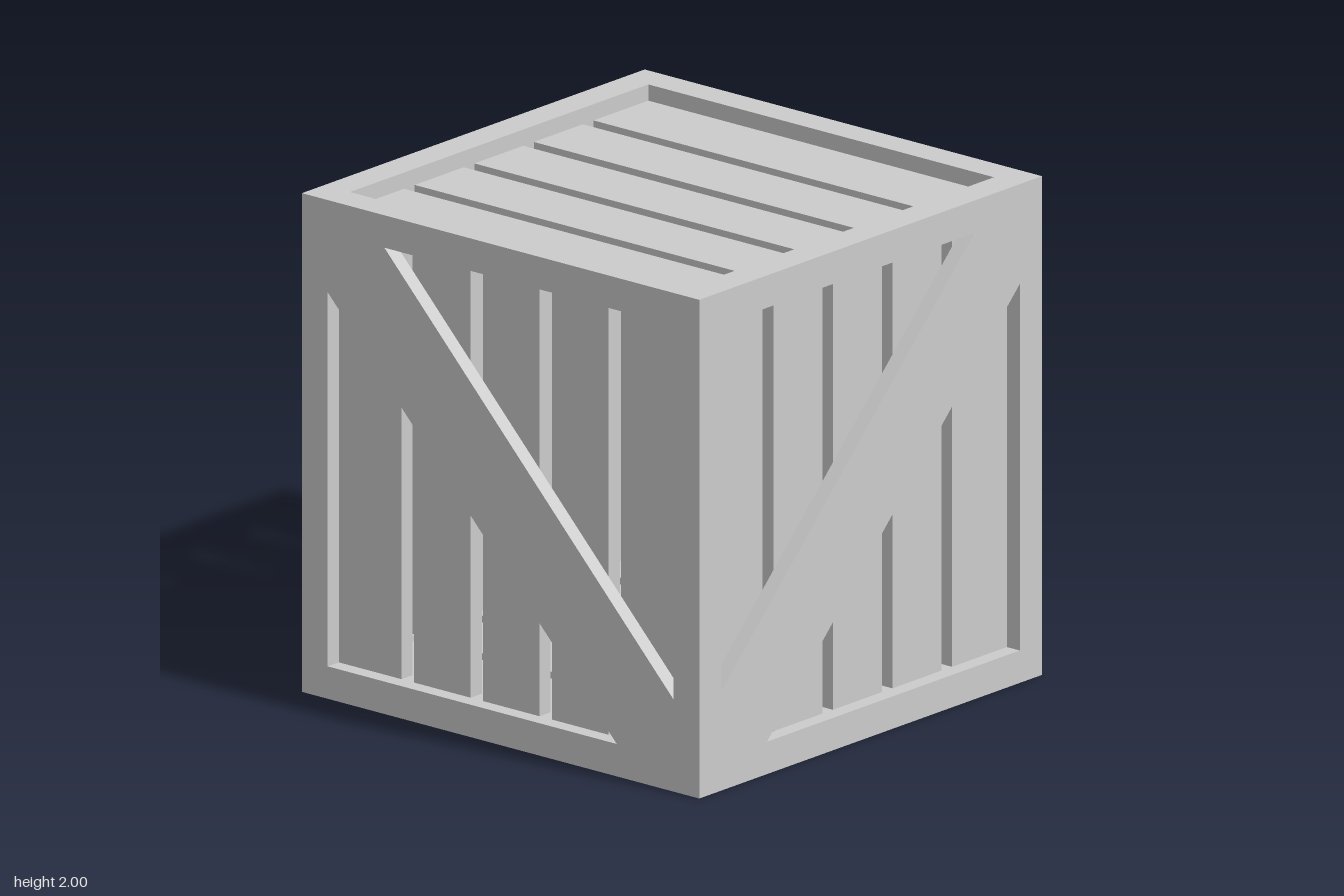
import * as THREE from 'three';

const OUT = 1;           // half size of the crate
const BEAM = 0.13;       // square frame beam
const IN = OUT - BEAM;   // half size of the opening
const SLAT = 0.065;      // slat thickness, also the recess depth
const mat = new THREE.MeshStandardMaterial({ color: 0xcccccc, flatShading: true });

function box(name, w, h, d, x, y, z) {
  const mesh = new THREE.Mesh(new THREE.BoxGeometry(w, h, d), mat);
  mesh.name = name;
  mesh.position.set(x, y, z);
  return mesh;
}

// Five vertical slats with narrow gaps, on the +z side of the inner cube
function slatPanel(name) {
  const panel = new THREE.Group();
  panel.name = name;
  const spans = [[-IN, -0.555], [-0.493, -0.207], [-0.145, 0.14], [0.202, 0.488], [0.55, IN]];
  for (const [a, b] of spans) {
    panel.add(box('slat', b - a, 2 * IN, SLAT, (a + b) / 2, 0, IN + SLAT / 2));
  }
  return panel;
}

// Diagonal board cut to fit the opening; dir 1 falls to the right, -1 rises
function brace(dir, a, b) {
  const pts = [[-IN, IN], [-IN, b], [a, -IN], [IN, -IN], [IN, -b], [-a, IN]];
  const shape = new THREE.Shape(pts.map(([x, y]) => new THREE.Vector2(x * dir, y)));
  const geo = new THREE.ExtrudeGeometry(shape, { depth: OUT - IN - SLAT, bevelEnabled: false });
  const mesh = new THREE.Mesh(geo, mat);
  mesh.name = 'diagonalBrace';
  mesh.position.z = IN + SLAT;
  return mesh;
}

export function createModel() {
  const crate = new THREE.Group();
  crate.name = 'crate';
  const body = new THREE.Group();
  body.name = 'body';
  body.position.y = OUT;
  crate.add(body);

  // Frame: four corner posts, then rails around the top and bottom
  const frame = new THREE.Group();
  frame.name = 'frame';
  const c = OUT - BEAM / 2;
  for (const s of [-1, 1]) {
    for (const t of [-1, 1]) {
      frame.add(box('cornerPost', BEAM, 2 * OUT, BEAM, s * c, 0, t * c));
      frame.add(box('railAcross', 2 * IN, BEAM, BEAM, 0, s * c, t * c));
      frame.add(box('railDeep', BEAM, BEAM, 2 * IN, t * c, s * c, 0));
    }
  }
  body.add(frame);

  // Four walls, each with a brace flush with the frame
  ['frontWall', 'leftWall', 'backWall', 'rightWall'].forEach((name, i) => {
    const wall = slatPanel(name);
    wall.add(i % 2 ? brace(-1, 0.605, 0.6) : brace(1, 0.585, 0.63));
    wall.rotation.y = i * Math.PI / 2;
    body.add(wall);
  });

  // Lid and floor, slats running left to right
  const lid = slatPanel('lid');
  lid.rotation.set(-Math.PI / 2, 0, Math.PI / 2);
  const floor = slatPanel('floor');
  floor.rotation.set(Math.PI / 2, 0, -Math.PI / 2);
  body.add(lid, floor);

  return crate;
}
